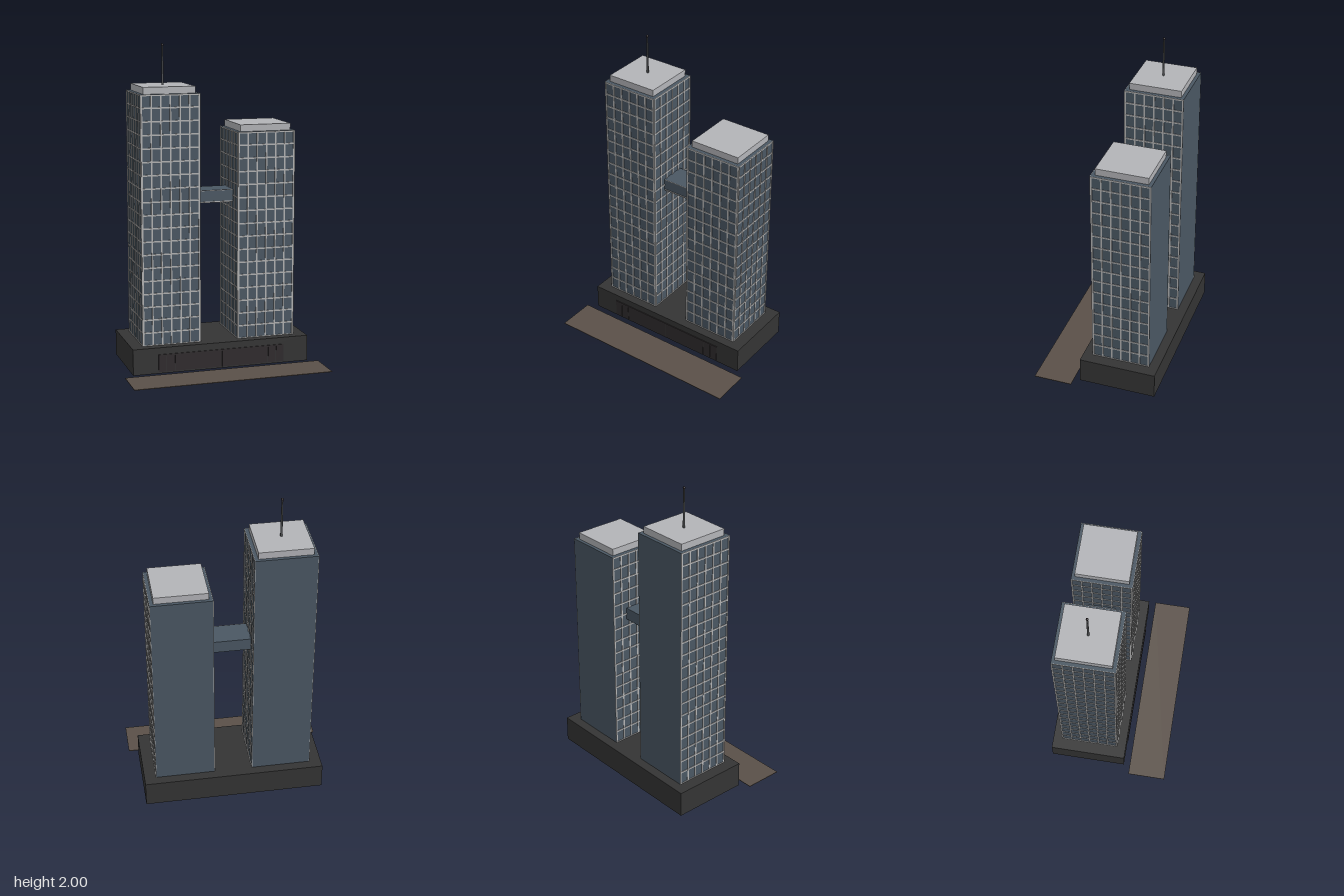
import * as THREE from 'three';

const mat = (name, color) => {
  const m = new THREE.MeshStandardMaterial({ color });
  m.name = name;
  return m;
};

export function createModel() {
  const glass = mat('blue glass', 0x4a5763);
  const frame = mat('light frame', 0xb4b4b4);
  const roof = mat('pale roof', 0xb3b4b8);
  const stone = mat('dark stone', 0x343434);
  const shop = mat('shopfront dark', 0x2f2b2d);
  const paving = mat('brown paving', 0x5a5048);
  const steel = mat('mast steel', 0x505254);
  const tip = mat('mast tip', 0x2a2426);

  const model = new THREE.Group();
  model.name = 'twinTowers';

  // box given by its limits on each axis
  const box = (parent, name, m, x0, x1, y0, y1, z0, z1) => {
    const mesh = new THREE.Mesh(new THREE.BoxGeometry(x1 - x0, y1 - y0, z1 - z0), m);
    mesh.position.set((x0 + x1) / 2, (y0 + y1) / 2, (z0 + z1) / 2);
    mesh.name = name;
    parent.add(mesh);
    return mesh;
  };

  const base = 0.163, floorH = 0.0813, half = 0.183, zc = -0.143;
  const bar = 0.0045, out = 0.004, cols = 6;

  // one face of mullions and floor bands, facing +z in its own frame
  const facadeGrid = (height, floors) => {
    const g = new THREE.Group();
    g.name = 'facadeGrid';
    for (let i = 0; i <= cols; i++) {
      const x = -half + bar + (i / cols) * 2 * (half - bar);
      box(g, 'mullion', frame, x - bar, x + bar, 0, height, half, half + out);
    }
    for (let i = 0; i <= floors; i++) {
      const y = Math.min(i * floorH, height - bar);
      box(g, 'floorBand', frame, -half, half, Math.max(0, y - bar), y + bar, half, half + out * 0.9);
    }
    return g;
  };

  // tower: glass shaft, grids on front and both sides, roof slab
  const tower = (name, x, floors) => {
    const g = new THREE.Group();
    const h = floors * floorH;
    g.name = name;
    g.position.set(x, base, zc);
    box(g, 'shaft', glass, -half, half, 0, h, -half, half);
    for (const turn of [0, Math.PI / 2, -Math.PI / 2]) {
      const grid = facadeGrid(h, floors);
      grid.rotation.y = turn;
      g.add(grid);
    }
    box(g, 'roofSlab', roof, -0.162, 0.162, h, h + 0.042, -0.162, 0.162);
    model.add(g);
    return h + 0.042;
  };
  const tallTop = base + tower('tallTower', -0.305, 19);
  tower('shortTower', 0.305, 16);

  // antenna mast
  const mast = new THREE.Mesh(new THREE.CylinderGeometry(0.005, 0.007, 1.99 - tallTop, 10), steel);
  mast.name = 'mast';
  mast.position.set(-0.305, (tallTop + 1.99) / 2, zc);
  const beacon = new THREE.Mesh(new THREE.SphereGeometry(0.008, 12, 8), tip);
  beacon.name = 'mastTip';
  beacon.position.set(-0.305, 1.992, zc);
  model.add(mast, beacon);

  // sky bridge with light edge strips along the front
  const bridge = new THREE.Group();
  bridge.name = 'skyBridge';
  box(bridge, 'bridgeBody', glass, -0.123, 0.123, 1.02, 1.096, -0.225, -0.062);
  box(bridge, 'lowerStrip', frame, -0.118, 0.118, 1.018, 1.026, -0.062, -0.059);
  box(bridge, 'upperStrip', frame, -0.118, 0.118, 1.092, 1.096, -0.062, -0.059);
  model.add(bridge);

  // podium with shopfront panels
  box(model, 'podium', stone, -0.565, 0.565, 0, base, -0.385, 0.1);
  box(model, 'shopHeader', shop, -0.405, 0.405, 0.11, 0.12, 0.1, 0.105);
  for (const s of [-1, 1]) {
    for (const [a, b] of [[0.002, 0.3], [0.304, 0.353], [0.357, 0.405]]) {
      box(model, 'shopPanel', shop, Math.min(s * a, s * b), Math.max(s * a, s * b), 0.01, 0.11, 0.1, 0.104);
    }
  }

  // paved strip in front
  box(model, 'pavement', paving, -0.625, 0.625, 0, 0.004, 0.14, 0.382);
  return model;
}
